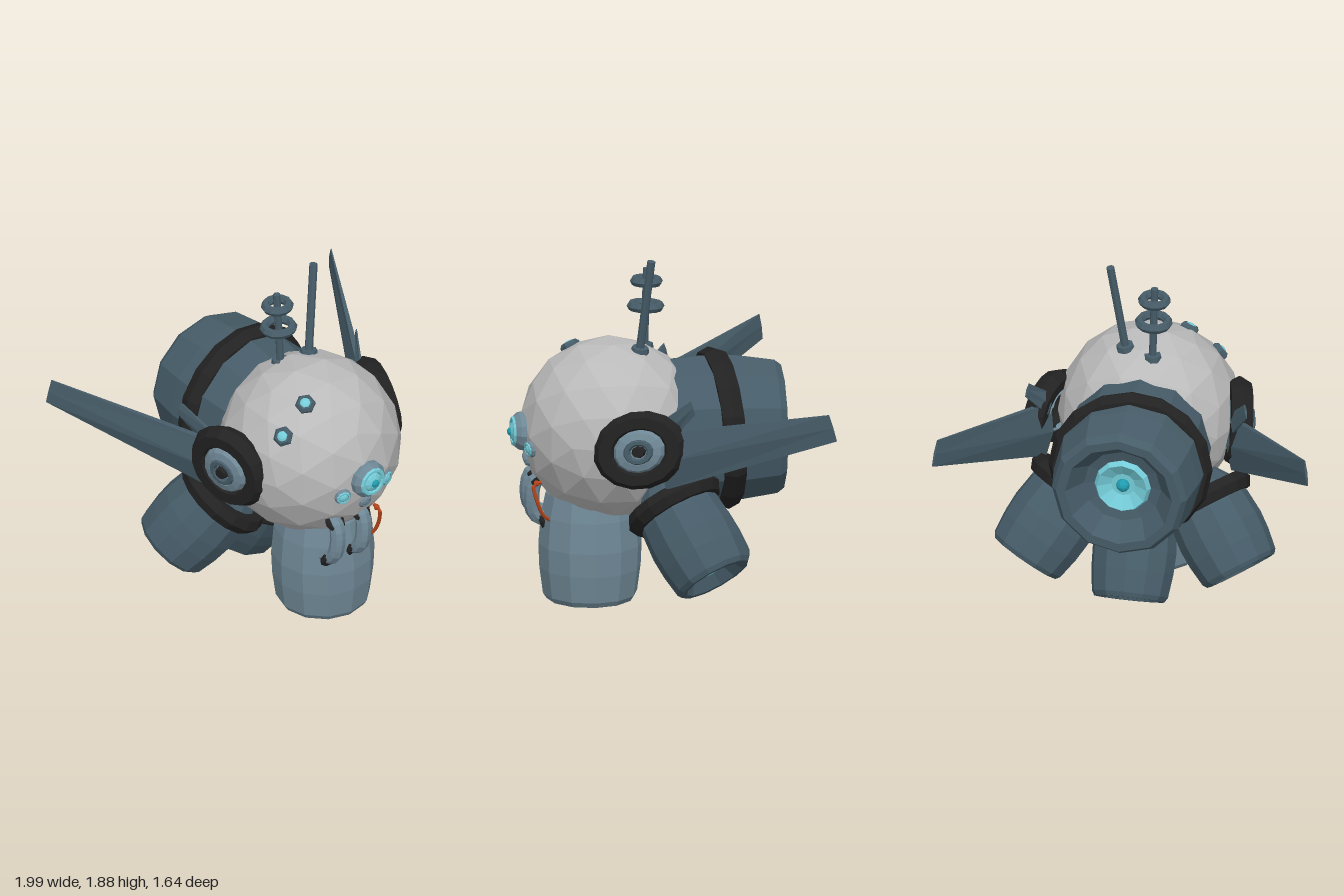
import * as THREE from 'three';

const V = (a) => new THREE.Vector3(...a);
const UP = new THREE.Vector3(0, 1, 0);
const mat = (color, side = THREE.FrontSide) =>
  new THREE.MeshStandardMaterial({ color, flatShading: true, side });

export function createModel() {
  const model = new THREE.Group();
  const M = {
    shell: mat(0xbababa), dark: mat(0x465c68, THREE.DoubleSide), light: mat(0x6f8896, THREE.DoubleSide),
    black: mat(0x222222), teal: mat(0x74ccd8, THREE.DoubleSide), core: mat(0x1f9db0), orange: mat(0xb5451b),
  };
  const headC = [0.037, 0.945, 0.265], headR = 0.485;

  function add(parent, name, geo, material, pos = [0, 0, 0]) {
    const m = new THREE.Mesh(geo, material);
    m.name = name;
    m.position.set(...pos);
    parent.add(m);
    return m;
  }
  // Group at pos whose local +y points along dir
  function aimed(name, pos, dir) {
    const g = new THREE.Group();
    g.name = name;
    g.position.set(...pos);
    g.quaternion.setFromUnitVectors(UP, V(dir).normalize());
    model.add(g);
    return g;
  }
  const lathe = (pts, n) => new THREE.LatheGeometry(pts.map(([r, y]) => new THREE.Vector2(r, y)), n);
  // Torus around local y; wide stretches it along that axis
  function ring(parent, name, r, tube, material, y, seg = 14, wide = 1) {
    const t = add(parent, name, new THREE.TorusGeometry(r, tube, 6, seg), material, [0, y, 0]);
    t.rotation.x = Math.PI / 2;
    t.scale.z = wide;
    return t;
  }
  function rod(name, a, b, r, material) {
    const d = V(b).sub(V(a));
    const g = aimed(name, a, d.toArray());
    add(g, name + 'Shaft', new THREE.CylinderGeometry(r, r, d.length(), 8), material, [0, d.length() / 2, 0]);
    return g;
  }

  // Head
  add(model, 'head', new THREE.IcosahedronGeometry(headR, 2), M.shell, headC);

  // Barrel engines: neck into the body, bevelled open rim, recessed glowing nozzle
  function engine(name, start, end, r, material) {
    const d = V(end).sub(V(start)), L = d.length();
    const g = aimed(name, start, d.toArray());
    add(g, name + 'Barrel', lathe([
      [0, -0.1], [r * 0.55, -0.1], [r * 0.86, 0], [r * 0.95, L * 0.2], [r, L * 0.48], [r * 0.98, L * 0.7],
      [r * 0.91, L * 0.95], [r * 0.84, L], [r * 0.72, L], [r * 0.52, L - r * 0.28], [r * 0.36, L - r * 0.32],
    ], 12), material);
    add(g, name + 'Glow', lathe([
      [r * 0.38, L - r * 0.3], [r * 0.34, L - r * 0.22], [r * 0.16, L - r * 0.33], [0, L - r * 0.33],
    ], 12), M.teal);
    add(g, name + 'Core', new THREE.IcosahedronGeometry(r * 0.09, 1), M.core, [0, L - r * 0.31, 0]);
    return g;
  }
  const main = engine('mainEngine', [0.025, 0.92, 0.1], [0.025, 0.915, -0.64], 0.4, M.dark);
  const band = ring(main, 'mainEngineBand', 0.385, 0.05, M.black, 0.41, 16, 1.35);
  band.rotation.y = 0.11;
  band.rotation.x += 0.05;
  engine('frontEngine', [0.04, 0.6, 0.375], [0.04, 0.02, 0.375], 0.275, M.light);
  const sides = [
    ['rearLowerEngine', [0.03, 0.53, -0.05], [0.03, 0.115, -0.315], 0.225],
    ['leftEngine', [0.37, 0.62, -0.02], [0.61, 0.25, -0.22], 0.237],
    ['rightEngine', [-0.3, 0.62, -0.02], [-0.545, 0.28, -0.19], 0.237],
  ];
  for (const [name, start, end, r] of sides)
    ring(engine(name, start, end, r, M.dark), name + 'Band', r * 0.94, 0.05, M.black, 0.025, 16, 1.15);

  // Ear hubs: padded ring, stepped disc and knob
  for (const s of [-1, 1]) {
    const name = s > 0 ? 'leftEar' : 'rightEar';
    const g = aimed(name, [0.05 + s * 0.48, 0.952, s > 0 ? 0.165 : 0.205], [s, s * 0.1, 0.28]);
    if (s > 0) g.scale.set(0.85, 1, 1.04);
    ring(g, name + 'Pad', 0.18, 0.066, M.black, 0.02, 16);
    add(g, name + 'Disc', lathe([[0.135, -0.04], [0.135, 0.06], [0.12, 0.085], [0.08, 0.095], [0.07, 0.075], [0, 0.075]], 14), M.light);
    ring(g, name + 'Groove', 0.062, 0.02, M.dark, 0.085, 12);
    add(g, name + 'Knob', new THREE.CylinderGeometry(0.03, 0.04, 0.04, 8), M.black, [0, 0.09, 0]);
  }

  // Fins: box corners moved to a tapered blade with a mid ridge
  function blade(name, baseTop, baseLow, tipTop, tipLow, t0, t1) {
    const geo = new THREE.BoxGeometry(1, 1, 1, 1, 2, 1), p = geo.attributes.position;
    const [bt, bl, tt, tl] = [baseTop, baseLow, tipTop, tipLow].map(V);
    // local frame: x base to tip, y low to top, z thickness
    const n = tt.clone().sub(bt).cross(bt.clone().sub(bl)).normalize();
    for (let i = 0; i < p.count; i++) {
      const tip = p.getX(i) > 0, y = p.getY(i);
      const v = (tip ? tl : bl).clone().lerp(tip ? tt : bt, y + 0.5);
      v.addScaledVector(n, p.getZ(i) * (tip ? t1 : t0) * (1 - Math.abs(y) * 1.3));
      p.setXYZ(i, v.x, v.y, v.z);
    }
    geo.computeVertexNormals();
    add(model, name, geo, M.dark);
  }
  blade('leftFin', [0.54, 1.04, 0.06], [0.56, 0.74, 0.03], [0.97, 1.23, -0.78], [0.99, 1.09, -0.82], 0.1, 0.015);
  blade('rightFin', [-0.46, 1.04, 0.08], [-0.46, 0.75, 0.05], [-0.98, 1.25, -0.65], [-1, 1.11, -0.67], 0.1, 0.015);
  for (const s of [-1, 1])
    blade(s > 0 ? 'leftFinlet' : 'rightFinlet', [0.035 + s * 0.5, 1.1, 0.06], [0.035 + s * 0.5, 1.0, 0],
      [0.035 + s * 0.58, 1.23, -0.09], [0.035 + s * 0.595, 1.16, -0.11], 0.04, 0.015);

  // Eyes and lamps seated on the head surface
  function lamp(name, toward, r, lens, rim, sides, lift = 0) {
    const d = V(toward).sub(V(headC)).normalize();
    const g = aimed(name, V(headC).addScaledVector(d, headR - 0.035 + lift).toArray(), d.toArray());
    add(g, name + 'Rim', lathe([[r, 0], [r, 0.03], [r * 0.75, r * 0.3 + 0.03], [r * 0.58, r * 0.3 + 0.03],
      [r * 0.5, r * 0.2 + 0.025], [0, r * 0.2 + 0.025]], sides), rim);
    const l = add(g, name + 'Lens', new THREE.SphereGeometry(r * 0.56, 10, 6), lens, [0, r * 0.25 + 0.025, 0]);
    l.scale.y = 0.5;
    return g;
  }
  const eye = lamp('mainEye', [0.06, 0.945, 0.74], 0.103, M.teal, M.light, 12, 0.012);
  ring(eye, 'mainEyeRing', 0.068, 0.014, M.teal, 0.055, 12);
  add(eye, 'mainEyePupil', new THREE.SphereGeometry(0.026, 8, 6), M.core, [0, 0.067, 0]);
  for (const x of [-0.085, 0.195]) {
    const g = lamp('sideEye', [x, 0.885, 0.7], 0.046, M.teal, M.light, 10, 0.005);
    ring(g, 'sideEyeRing', 0.032, 0.008, M.teal, 0.038, 10);
  }
  lamp('lowerSensor', [0.06, 0.795, 0.7], 0.04, M.light, M.light, 10);
  for (const p of [[-0.14, 1.35, 0.46], [-0.305, 1.22, 0.48]])
    lamp('crownLamp', p, 0.055, M.teal, M.dark, 6, 0.005);

  // Antennas
  const ringed = rod('ringedAntenna', [-0.015, 1.34, 0.08], [-0.03, 1.79, 0.065], 0.02, M.dark);
  for (const y of [0.245, 0.38]) ring(ringed, 'antennaRing', y < 0.3 ? 0.076 : 0.063, 0.025, M.dark, y, 12);
  const plain = rod('plainAntenna', [0.135, 1.36, 0.125], [0.21, 1.89, 0.07], 0.022, M.dark);
  for (const g of [ringed, plain])
    add(g, 'antennaFoot', new THREE.CylinderGeometry(0.045, 0.05, 0.03, 8), M.dark, [0, 0.03, 0]);

  // Mouth hoses with black cuffs
  const tube = (pts, r, sides) =>
    new THREE.TubeGeometry(new THREE.CatmullRomCurve3(pts.map(V)), 10, r, sides);
  for (const x of [-0.095, 0.075]) {
    add(model, 'mouthHose', tube([[x, 0.7, 0.61], [x, 0.675, 0.67], [x - 0.005, 0.58, 0.69], [x - 0.015, 0.49, 0.67], [x - 0.02, 0.45, 0.6]], 0.042, 8), M.light);
    const top = aimed('hoseTopCuff', [x, 0.69, 0.66], [0, 0.75, 0.66]);
    ring(top, 'hoseTopRing', 0.04, 0.018, M.black, 0, 10);
    const low = aimed('hoseLowCuff', [x - 0.02, 0.455, 0.635], [0, -0.4, 0.9]);
    ring(low, 'hoseLowRing', 0.037, 0.018, M.black, 0, 10);
  }

  // Loose wire
  add(model, 'wire', tube([[0.17, 0.69, 0.65], [0.175, 0.68, 0.69], [0.185, 0.58, 0.67], [0.17, 0.51, 0.64], [0.15, 0.475, 0.6]], 0.01, 6), M.orange);
  add(model, 'wirePlug', new THREE.SphereGeometry(0.017, 6, 5), M.orange, [0.17, 0.685, 0.675]);

  return model;
}
